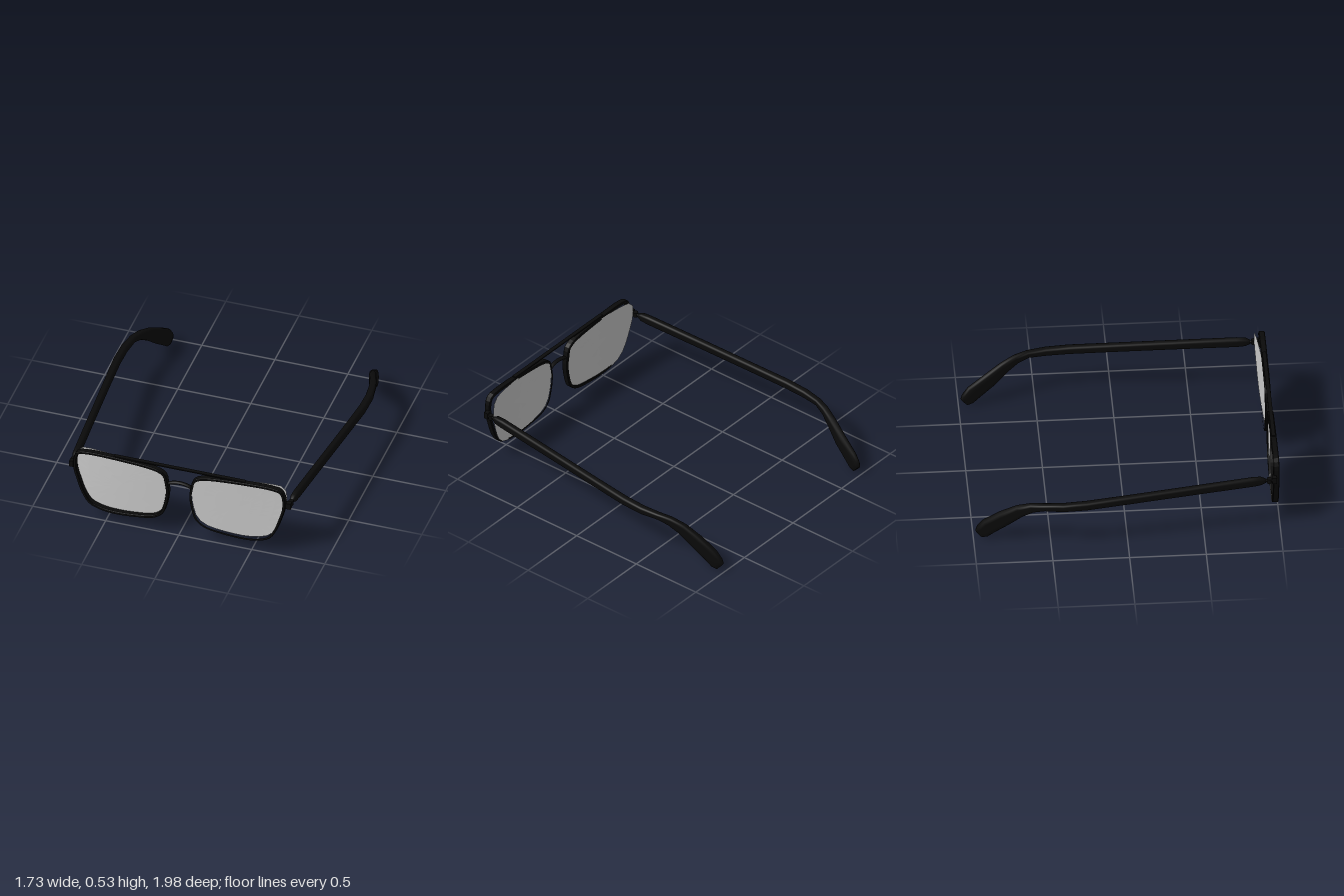
import * as THREE from 'three';

const black = new THREE.MeshStandardMaterial({ color: 0x0a0a0a });
const grey = new THREE.MeshStandardMaterial({ color: 0xcccccc, side: THREE.DoubleSide, flatShading: true });

// Outer rim outline of the left eye, clockwise from the nose side
const OUTLINE = [
  [0.08, 0.405], [0.093, 0.46], [0.13, 0.488], [0.196, 0.505], [0.43, 0.524], [0.635, 0.526],
  [0.698, 0.512], [0.72, 0.474], [0.724, 0.38], [0.7, 0.287], [0.664, 0.185], [0.617, 0.114],
  [0.547, 0.082], [0.453, 0.068], [0.29, 0.077], [0.173, 0.1], [0.112, 0.147], [0.084, 0.23], [0.07, 0.334],
];

// Smooth closed outline, moved inward by a distance and mirrored by side
function outline(inset, side, count = 64) {
  const curve = new THREE.CatmullRomCurve3(
    OUTLINE.map(([x, y]) => new THREE.Vector3(x, y, 0)), true, 'centripetal');
  return Array.from({ length: count }, (_, i) => {
    const p = curve.getPointAt(i / count), t = curve.getTangentAt(i / count);
    return new THREE.Vector2(side * (p.x + t.y * inset), p.y - t.x * inset);
  });
}

function add(parent, name, geometry, material = black) {
  const mesh = new THREE.Mesh(geometry, material);
  mesh.name = name;
  parent.add(mesh);
  return mesh;
}

// Closed surface through rings of equal length
function loft(rings, flip) {
  const n = rings[0].length, pos = [], index = [];
  rings.forEach((ring) => ring.forEach((p) => pos.push(p.x, p.y, p.z)));
  const tri = (a, b, c) => (flip ? index.push(a, c, b) : index.push(a, b, c));
  for (let r = 0; r < rings.length - 1; r++) {
    for (let i = 0; i < n; i++) {
      const a = r * n + i, b = r * n + (i + 1) % n;
      tri(a, b, a + n);
      tri(b, b + n, a + n);
    }
  }
  const last = (rings.length - 1) * n;
  for (let i = 1; i < n - 1; i++) {
    tri(0, i + 1, i);
    tri(last, last + i, last + i + 1);
  }
  const g = new THREE.BufferGeometry();
  g.setAttribute('position', new THREE.Float32BufferAttribute(pos, 3));
  g.setIndex(index);
  g.computeVertexNormals();
  return g;
}

function rimGeometry(side) {
  const shape = new THREE.Shape(outline(0.003, side));
  shape.holes.push(new THREE.Path(outline(0.017, side)));
  const g = new THREE.ExtrudeGeometry(shape, {
    depth: 0.032, bevelEnabled: true, bevelSize: 0.003, bevelThickness: 0.004, bevelSegments: 1,
  });
  return g.translate(0, 0, 0.96);
}

// Thin sheet that bows back towards the outer top corner
function lensGeometry(side) {
  const rim = outline(0.006, side, 32), steps = 4, pos = [], index = [];
  const cx = side * 0.4, cy = 0.3;
  for (let r = 0; r <= steps; r++) {
    rim.forEach((p) => {
      const x = cx + (p.x - cx) * r / steps, y = cy + (p.y - cy) * r / steps;
      const s = Math.max(0, Math.abs(x) - 0.15) / 0.57;
      pos.push(x, y, 0.966 - s * s * (0.022 + 0.045 * Math.max(0, y - 0.08)));
    });
  }
  const n = rim.length;
  for (let r = 0; r < steps; r++) {
    for (let i = 0; i < n; i++) {
      const a = r * n + i, b = r * n + (i + 1) % n;
      if (r > 0) index.push(a, a + n, b);
      index.push(b, a + n, b + n);
    }
  }
  const g = new THREE.BufferGeometry();
  g.setAttribute('position', new THREE.Float32BufferAttribute(pos, 3));
  g.setIndex(index);
  g.computeVertexNormals();
  return g;
}

// Temple stations: x, y, z, width, height
const TEMPLE = [
  [0.744, 0.392, 0.905, 0.022, 0.026], [0.746, 0.393, 0.875, 0.042, 0.054], [0.75, 0.39, 0.82, 0.044, 0.064],
  [0.785, 0.364, 0.4, 0.044, 0.062], [0.818, 0.338, 0, 0.046, 0.06], [0.839, 0.321, -0.27, 0.05, 0.058],
  [0.839, 0.313, -0.42, 0.05, 0.054], [0.822, 0.309, -0.54, 0.046, 0.045], [0.797, 0.29, -0.62, 0.046, 0.062],
  [0.768, 0.247, -0.7, 0.048, 0.085], [0.737, 0.17, -0.8, 0.052, 0.108], [0.716, 0.094, -0.9, 0.048, 0.115],
  [0.708, 0.05, -0.94, 0.044, 0.102], [0.703, 0.03, -0.962, 0.032, 0.07],
];

function templeGeometry(side) {
  const centers = TEMPLE.map(([x, y, z]) => new THREE.Vector3(side * x, y, z));
  const rings = TEMPLE.map(([, , , w, h], i) => {
    const t = centers[Math.min(i + 1, centers.length - 1)].clone().sub(centers[Math.max(i - 1, 0)]).normalize();
    const across = new THREE.Vector3(0, 1, 0).cross(t).normalize();
    const up = t.clone().cross(across);
    // rounded-square section
    return Array.from({ length: 12 }, (_, k) => {
      const a = (k + 0.5) / 12 * Math.PI * 2, c = Math.cos(a), s = Math.sin(a);
      const round = (v) => Math.sign(v) * Math.abs(v) ** 0.6 / 2;
      return centers[i].clone().addScaledVector(across, round(c) * w).addScaledVector(up, round(s) * h);
    });
  });
  return loft(rings, false);
}

export function createModel() {
  const model = new THREE.Group();
  model.name = 'glasses';

  for (const side of [1, -1]) {
    const label = side > 0 ? 'left' : 'right';
    add(model, label + 'Rim', rimGeometry(side));
    add(model, label + 'Lens', lensGeometry(side), grey);
    add(model, label + 'Temple', templeGeometry(side));

    // Hinge: end block, pin and barrel
    const hinge = new THREE.Group();
    hinge.name = label + 'Hinge';
    model.add(hinge);
    add(hinge, 'endBlock', new THREE.BoxGeometry(0.044, 0.045, 0.03)).position.set(side * 0.736, 0.393, 0.962);
    add(hinge, 'pin', new THREE.CylinderGeometry(0.01, 0.01, 0.07, 10).rotateX(Math.PI / 2))
      .position.set(side * 0.744, 0.392, 0.925);
    add(hinge, 'barrel', new THREE.CylinderGeometry(0.017, 0.017, 0.032, 12))
      .position.set(side * 0.744, 0.392, 0.928);
  }

  // Arched nose bridge
  const arch = new THREE.CatmullRomCurve3([
    [-0.085, 0.385], [-0.06, 0.4], [0, 0.411], [0.06, 0.4], [0.085, 0.385],
  ].map(([x, y]) => new THREE.Vector3(x, y, 0)));
  add(model, 'bridge', new THREE.TubeGeometry(arch, 20, 0.0095, 8).scale(1, 1, 1.6)).position.z = 0.976;

  // Straight brow bar
  add(model, 'browBar', new THREE.BoxGeometry(0.9, 0.008, 0.026)).position.set(0, 0.528, 0.976);
  return model;
}
